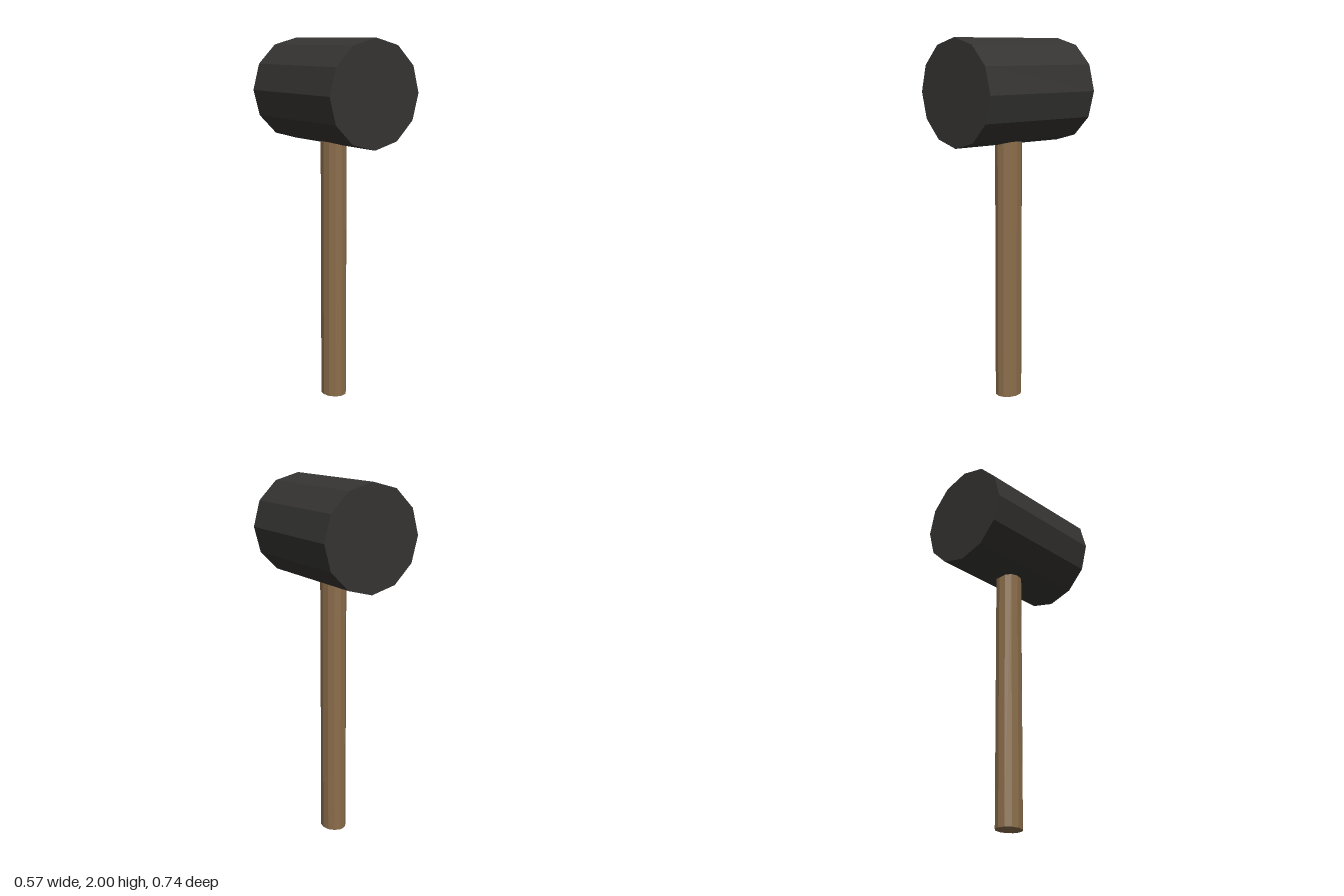
import * as THREE from 'three';

const SIDES = 12;

function addPart(group, name, geometry, color) {
  const mesh = new THREE.Mesh(
    geometry,
    new THREE.MeshStandardMaterial({ color, flatShading: true })
  );
  mesh.name = name;
  group.add(mesh);
  return mesh;
}

export function createModel() {
  const group = new THREE.Group();
  group.name = 'mallet';

  // Twelve-sided head lying along z, one corner pointing straight up
  const radius = 0.283;
  const head = new THREE.CylinderGeometry(radius, radius, 0.735, SIDES);
  head.rotateX(Math.PI / 2);
  head.translate(0, 2 - radius, 0);
  addPart(group, 'head', head, 0x353432);

  // Oval wooden handle, its top sunk into the head
  const height = 1.6;
  const handle = new THREE.CylinderGeometry(1, 1, height, SIDES);
  handle.scale(0.068, 1, 0.078);
  handle.translate(0, height / 2, 0);
  addPart(group, 'handle', handle, 0x8c6e4b);

  return group;
}
